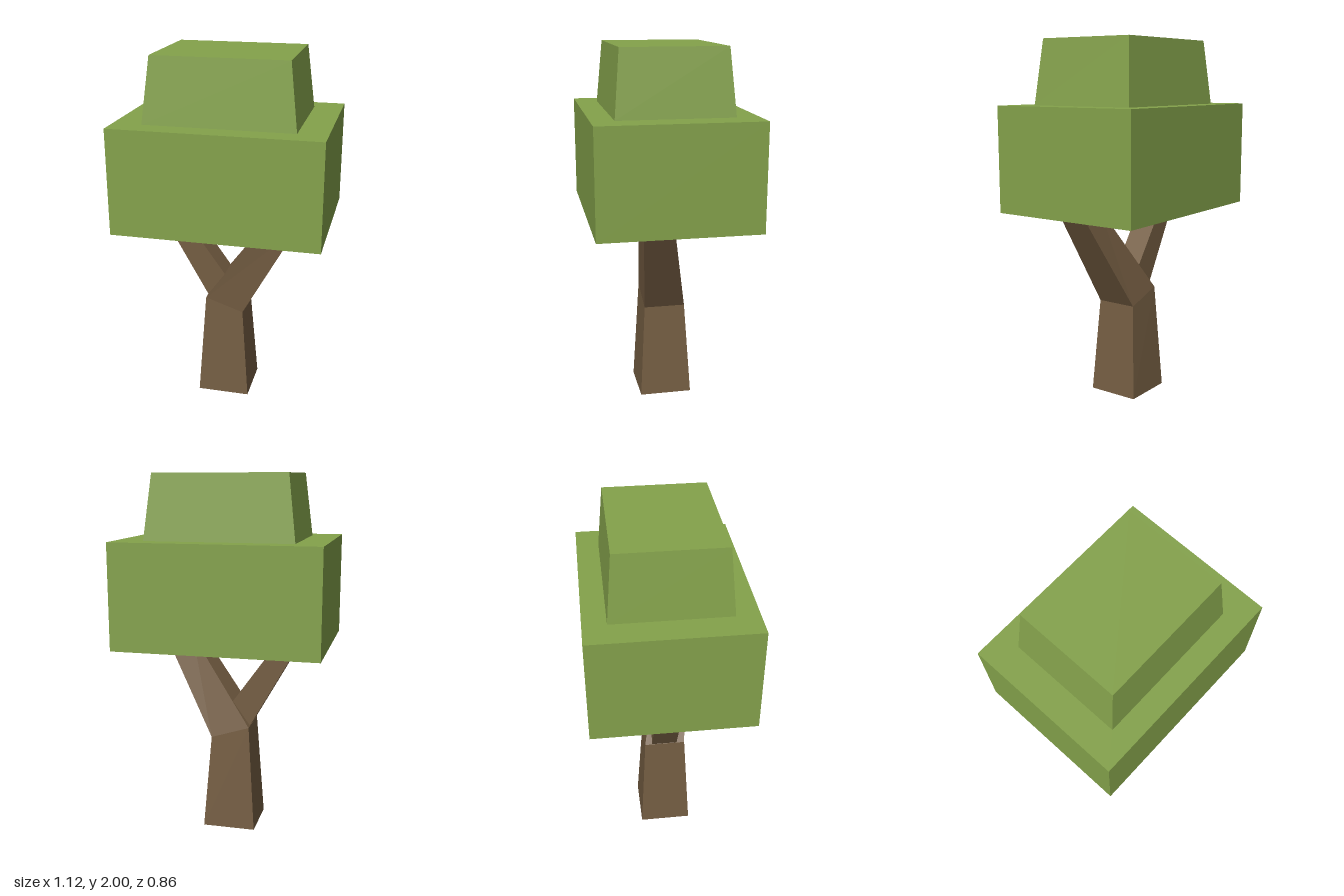
import * as THREE from 'three';

const material = (name, color) => {
  const m = new THREE.MeshStandardMaterial({ color });
  m.name = name;
  return m;
};

// Four corners of a cross-section: left edge at (x0, y0), right edge at (x1, y1), from zBack to zFront
const section = (x0, y0, x1, y1, zBack, zFront) => [
  [x0, y0, zFront], [x1, y1, zFront], [x1, y1, zBack], [x0, y0, zBack],
];

// Flat-sided tube through four-cornered sections, with optional end caps
function loft(name, mat, sections, capped = false) {
  const pos = [];
  const quad = (a, b, c, d) => pos.push(...a, ...b, ...c, ...a, ...c, ...d);
  for (let s = 0; s < sections.length - 1; s++) {
    const lo = sections[s], hi = sections[s + 1];
    for (let i = 0; i < 4; i++) {
      const j = (i + 1) % 4;
      quad(lo[i], lo[j], hi[j], hi[i]);
    }
  }
  if (capped) {
    quad(...sections[sections.length - 1]);
    quad(...[...sections[0]].reverse());
  }
  const geo = new THREE.BufferGeometry();
  geo.setAttribute('position', new THREE.Float32BufferAttribute(pos, 3));
  geo.computeVertexNormals();
  const mesh = new THREE.Mesh(geo, mat);
  mesh.name = name;
  return mesh;
}

export function createModel() {
  const bark = material('bark brown', 0x745d42);
  bark.side = THREE.DoubleSide; // the trunk is hollow and open below
  const leaf = material('leaf green', 0x84a24b);

  const tree = new THREE.Group();
  tree.name = 'tree';

  // Trunk bending into the larger branch
  const fork = section(-0.125, 0.6, 0.09, 0.53, -0.115, 0.115);
  tree.add(loft('trunk', bark, [section(-0.165, 0, 0.13, 0, -0.147, 0.145), fork]));
  tree.add(loft('largeBranch', bark, [fork, section(0.232, 1.095, 0.398, 1.095, 0.006, 0.168)]));

  // Thinner branch growing out of the fork
  tree.add(loft('smallBranch', bark, [
    section(-0.12, 0.595, 0, 0.705, -0.074, 0.07),
    section(-0.402, 1.095, -0.28, 1.095, -0.074, 0.07),
  ]));

  // Two foliage blocks, the upper one tapered
  const slab = (hx, y, hz) => section(-hx, y, hx, y, -hz, hz);
  tree.add(loft('lowerFoliage', leaf, [slab(0.56, 1.075, 0.432), slab(0.56, 1.65, 0.432)], true));
  tree.add(loft('upperFoliage', leaf, [slab(0.403, 1.65, 0.31), slab(0.361, 2, 0.279)], true));

  return tree;
}
